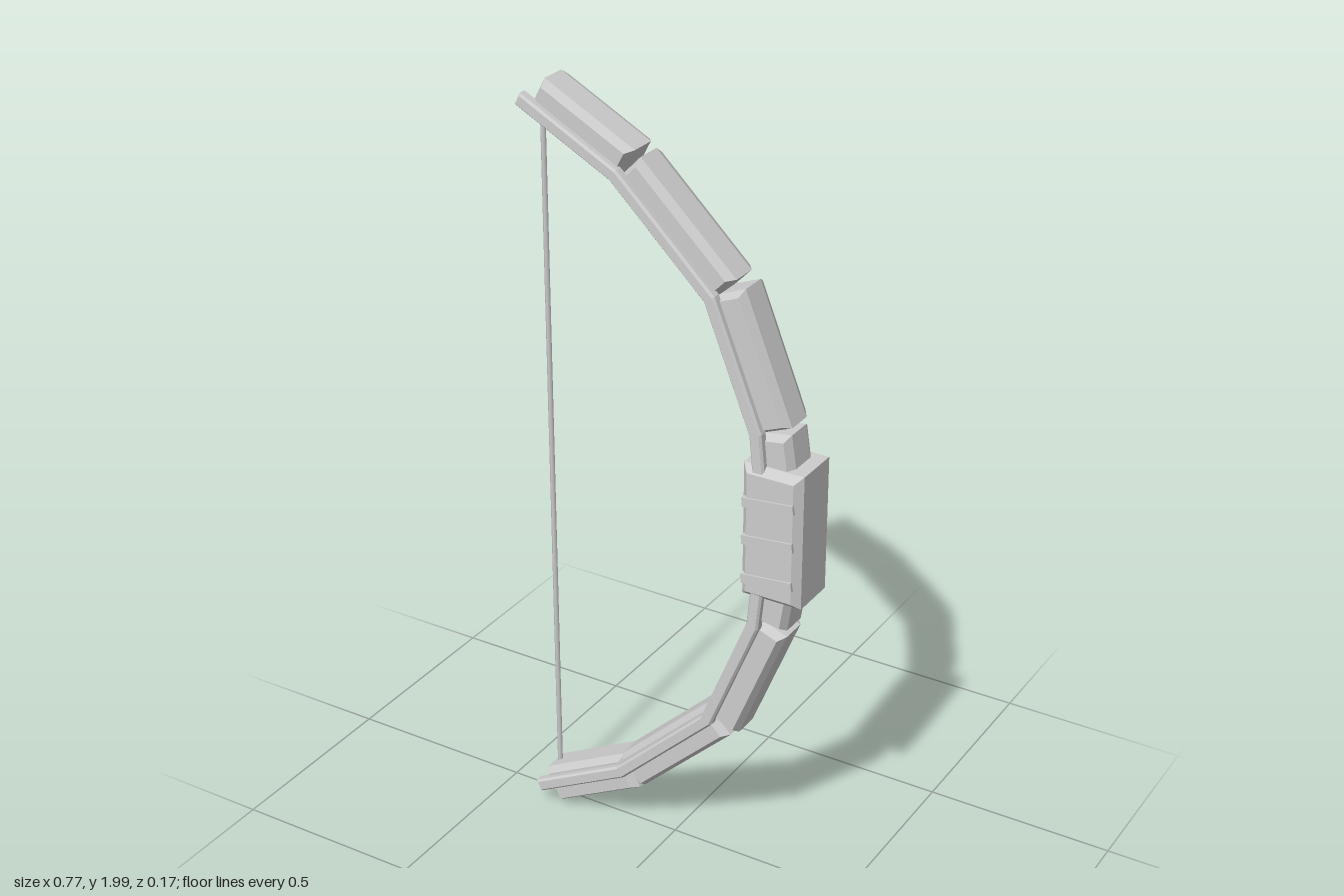
import * as THREE from 'three';

const grey = new THREE.MeshStandardMaterial({ color: 0xcccccc });
grey.name = 'grey';

// Flat plate from an outline in x/y between two depths, with chamfered faces
function plate(name, points, z0, z1, size, depth) {
  const shape = new THREE.Shape(points.map(([x, y]) => new THREE.Vector2(x, y)));
  const geo = new THREE.ExtrudeGeometry(shape, {
    depth: z1 - z0 - 2 * depth, bevelEnabled: true, bevelSegments: 1,
    bevelSize: size, bevelOffset: -size, bevelThickness: depth,
  });
  geo.translate(0, 0, z0 + depth);
  const mesh = new THREE.Mesh(geo, grey);
  mesh.name = name;
  return mesh;
}

// Outline of a bar: outer edge from a to b, between two inward distances
function bar([ax, ay], [bx, by], from, to, extra = 0) {
  const len = Math.hypot(bx - ax, by - ay);
  const dx = (bx - ax) / len, dy = (by - ay) / len;
  const at = (along, inward) => [ax + dx * along + dy * inward, ay + dy * along - dx * inward];
  return [at(-extra, from), at(len, from), at(len, to), at(-extra, to)];
}

export function createModel() {
  const group = new THREE.Group();
  group.name = 'bow';

  // Outer edges of the limb blocks, tip to grip
  const blocks = [
    [[-0.325, 1.997], [-0.085, 1.87]],
    [[-0.07, 1.857], [0.182, 1.614]],
    [[0.206, 1.597], [0.333, 1.28]],
    [[0.333, 1.262], [0.35, 1.15]],
  ];
  // Front rail runs along the limb as one bent strip
  const rail = [[[], []], [[], []]];
  const flip = ([x, y]) => [x, 2 - y];
  const outer = [], inner = [];
  const railPath = [[-0.377, 1.95], [-0.122, 1.815], [0.132, 1.568], [0.257, 1.257], [0.268, 1.15]];
  railPath.forEach(([x, y], i) => {
    const a = railPath[Math.max(i - 1, 0)], b = railPath[Math.min(i + 1, railPath.length - 1)];
    const l = Math.hypot(b[0] - a[0], b[1] - a[1]);
    const nx = -(b[1] - a[1]) / l * 0.0165, ny = (b[0] - a[0]) / l * 0.0165;
    outer.push([x + nx, y + ny]);
    inner.push([x - nx, y - ny]);
  });
  const railOutline = [...outer, ...inner.reverse()];

  // Upper and lower limbs
  for (const side of ['upper', 'lower']) {
    const place = side === 'upper' ? (p) => p : flip;
    const limb = new THREE.Group();
    limb.name = side + 'Limb';
    blocks.forEach(([a, b], i) => {
      const outline = bar(a, b, 0, 0.1).map(place);
      limb.add(plate(i < 3 ? 'limbBlock' : 'neck', outline, -0.057, 0.057, 0.012, 0.023));
    });
    limb.add(plate('frontRail', railOutline.map(place), 0.045, 0.076, 0.005, 0.006));
    group.add(limb);
  }

  // Grip with slanted ridges on both faces
  group.add(plate('grip', [[0.223, 0.825], [0.382, 0.825], [0.382, 1.178], [0.223, 1.178]],
    -0.08, 0.08, 0.018, 0.02));
  for (const y of [1.09, 0.99, 0.885]) {
    const ridge = new THREE.Mesh(new THREE.BoxGeometry(0.136, 0.024, 0.17), grey);
    ridge.name = 'gripRidge';
    ridge.position.set(0.299, y, 0);
    ridge.rotation.z = 0.1;
    group.add(ridge);
  }

  // String between the tips
  const string = new THREE.Mesh(new THREE.CylinderGeometry(0.0065, 0.0065, 1.88, 6), grey);
  string.name = 'string';
  string.position.set(-0.356, 1, 0);
  group.add(string);

  return group;
}
